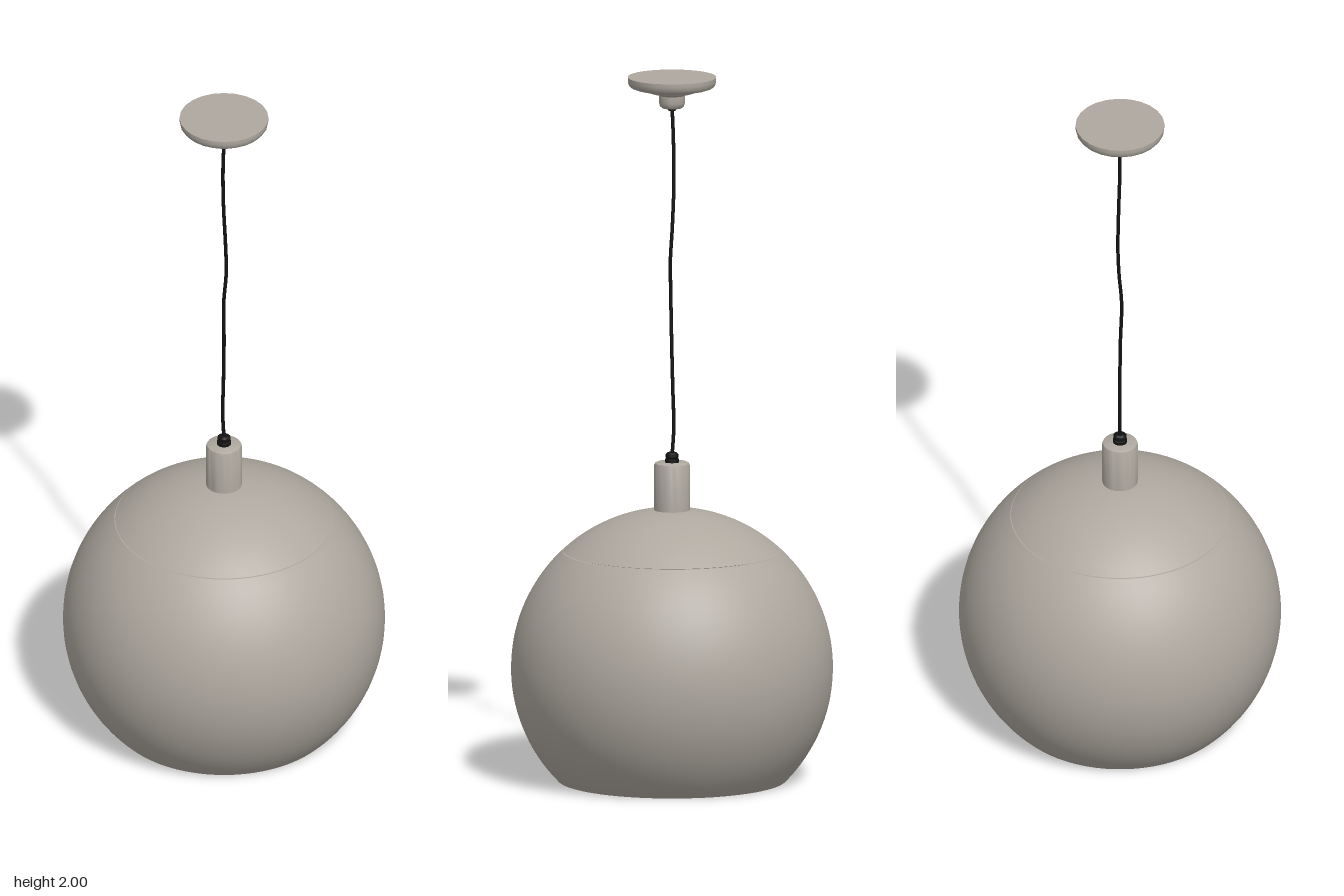
import * as THREE from 'three';
import { toCreasedNormals } from 'three/addons/utils/BufferGeometryUtils.js';

const CENTER_Y = 0.318, RADIUS = 0.452, WALL = 0.006;

export function createModel() {
  const model = new THREE.Group();
  model.name = 'pendantLamp';
  const metal = new THREE.MeshStandardMaterial({ name: 'warm grey metal', color: 0xaea89f });
  const black = new THREE.MeshStandardMaterial({ name: 'black cord', color: 0x121212 });

  const add = (name, geometry, material) => {
    const mesh = new THREE.Mesh(geometry, material);
    mesh.name = name;
    model.add(mesh);
  };
  const turned = (name, profile, material, sides) => {
    const points = profile.map(([r, y]) => new THREE.Vector2(r, y));
    add(name, toCreasedNormals(new THREE.LatheGeometry(points, sides), 0.6), material);
  };

  // Points on a sphere between two heights
  const arc = (radius, y0, y1, steps) => {
    const a0 = Math.asin((y0 - CENTER_Y) / radius);
    const a1 = Math.asin(Math.min(1, (y1 - CENTER_Y) / radius));
    return Array.from({ length: steps + 1 }, (_, i) => {
      const a = a0 + (a1 - a0) * i / steps;
      return [Math.max(0, radius * Math.cos(a)), CENTER_Y + radius * Math.sin(a)];
    });
  };
  // Thin-walled slice of the globe: down the inside, up the outside
  const shell = (y0, y1, steps, closedTop) => {
    const inner = RADIUS - WALL;
    const top = closedTop ? CENTER_Y + inner : y1;
    const profile = [...arc(inner, y0, top, steps).reverse(), ...arc(RADIUS, y0, y1, steps)];
    if (!closedTop) profile.push(profile[0]);
    return profile;
  };

  // Globe shade, open below, with a separate cap above the seam
  turned('shade', shell(0, 0.649, 32, false), metal, 72);
  turned('shadeCap', shell(0.651, CENTER_Y + RADIUS, 14, true), metal, 72);

  // Lamp holder on top of the cap
  turned('lampHolder', [
    [0, 0.758], [0.05, 0.758], [0.05, 0.895], [0.048, 0.9], [0.043, 0.903], [0, 0.903],
  ], metal, 32);

  // Cord grips at both ends
  turned('lowerCordGrip', [
    [0, 0.9], [0.02, 0.9], [0.02, 0.912], [0.016, 0.914], [0.019, 0.918],
    [0.018, 0.926], [0.012, 0.931], [0, 0.931],
  ], black, 16);
  turned('upperCordGrip', [[0, 1.905], [0.011, 1.905], [0.011, 1.92], [0, 1.92]], black, 16);

  // Slightly wavy cord
  const path = new THREE.CatmullRomCurve3([
    [0, 0.92, 0], [0, 1.0, -0.005], [0, 1.12, -0.002], [-0.001, 1.25, 0.001],
    [-0.004, 1.38, 0.003], [0.004, 1.48, 0.005], [0.006, 1.57, 0],
    [0.003, 1.7, -0.005], [0, 1.82, -0.004], [0, 1.92, 0],
  ].map((p) => new THREE.Vector3(...p)));
  add('cord', new THREE.TubeGeometry(path, 60, 0.005, 8), black);

  // Ceiling canopy: shallow dish with a hub
  turned('canopy', [
    [0, 1.912], [0.028, 1.912], [0.034, 1.918], [0.037, 1.928], [0.037, 1.948],
    [0.045, 1.951], [0.066, 1.957], [0.074, 1.967], [0.09, 1.968],
    [0.106, 1.968], [0.117, 1.972], [0.123, 1.98], [0.125, 1.99], [0.125, 2], [0, 2],
  ], metal, 24);

  return model;
}
